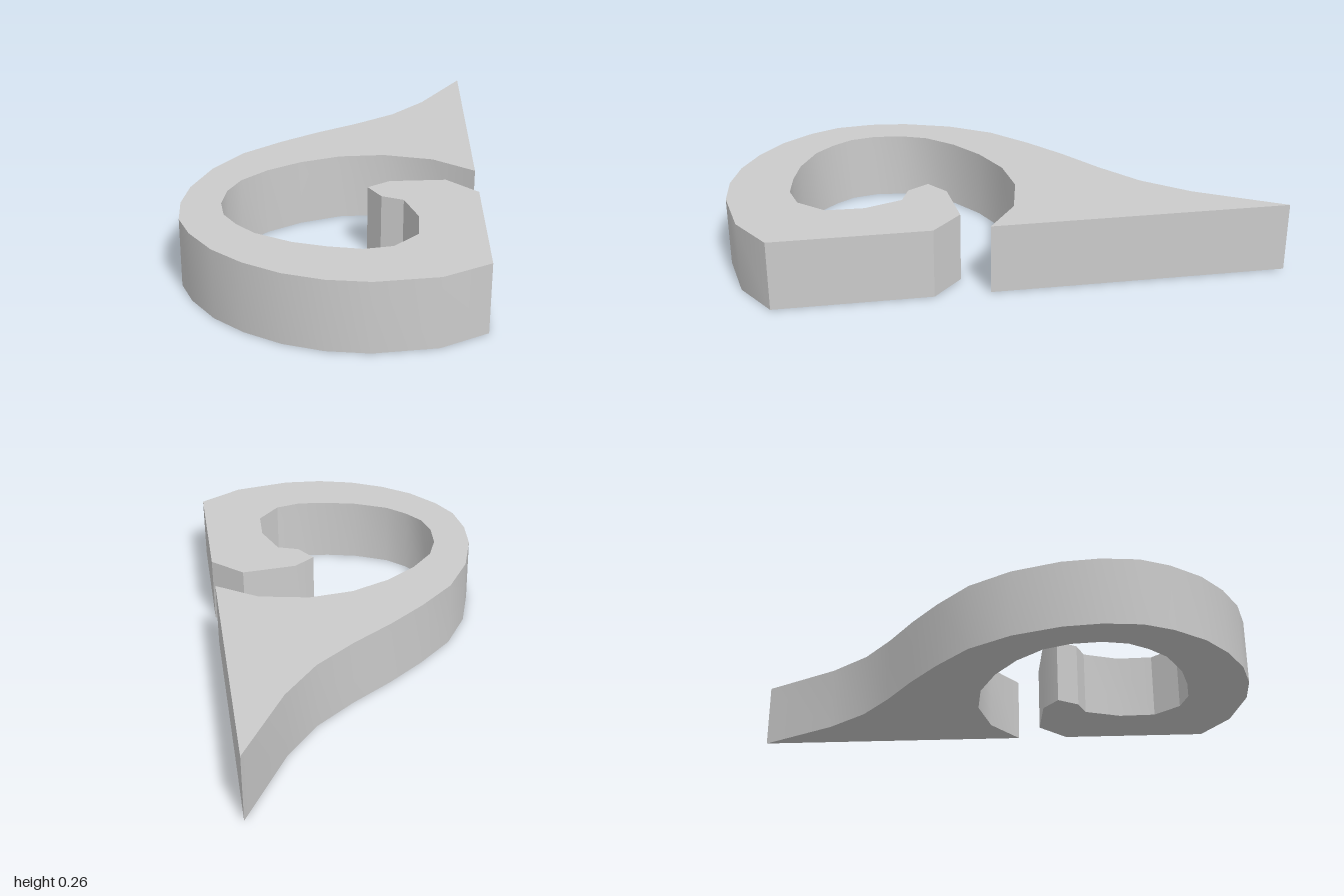
import * as THREE from 'three';
import { toCreasedNormals } from 'three/addons/utils/BufferGeometryUtils.js';

const HEIGHT = 0.257;

// Plan outlines as [x, z] points
const outerEdge = [
  [0.535, -1], [0.36, -0.69], [0.23, -0.53], [0.08, -0.41], [-0.08, -0.3],
  [-0.22, -0.19], [-0.36, -0.06], [-0.46, 0.1], [-0.52, 0.28], [-0.535, 0.42],
  [-0.52, 0.56], [-0.47, 0.67], [-0.38, 0.79], [-0.27, 0.88], [-0.14, 0.95],
  [0, 0.99], [0.15, 1], [0.37, 0.96], [0.535, 0.86],
];
const hookEnd = [
  [0.535, 0.29], [0.42, 0.18], [0.21, 0.2], [0.13, 0.26], [0.18, 0.34], [0.26, 0.37],
];
const innerEdge = [
  [0.31, 0.51], [0.305, 0.65], [0.22, 0.745], [0.12, 0.77], [0, 0.755],
  [-0.12, 0.725], [-0.25, 0.66], [-0.32, 0.59], [-0.37, 0.515], [-0.39, 0.42],
  [-0.38, 0.31], [-0.34, 0.21], [-0.25, 0.11], [-0.13, 0.025], [0.02, -0.04],
  [0.19, -0.06], [0.38, -0.02], [0.535, 0.09],
];

export function createModel() {
  const group = new THREE.Group();
  group.name = 'hookOrnament';

  // Flat curled hook, drawn in plan and laid on the ground
  const points = [...outerEdge, ...hookEnd, ...innerEdge]
    .map(([x, z]) => new THREE.Vector2(x, -z));
  const solid = new THREE.ExtrudeGeometry(new THREE.Shape(points), {
    depth: HEIGHT, bevelEnabled: false,
  });
  solid.rotateX(-Math.PI / 2);

  // Smooth curved walls, sharp rims and corners
  const hook = new THREE.Mesh(
    toCreasedNormals(solid, THREE.MathUtils.degToRad(32)),
    new THREE.MeshStandardMaterial({ color: 0xcccccc }),
  );
  hook.name = 'curledHook';
  group.add(hook);
  return group;
}
